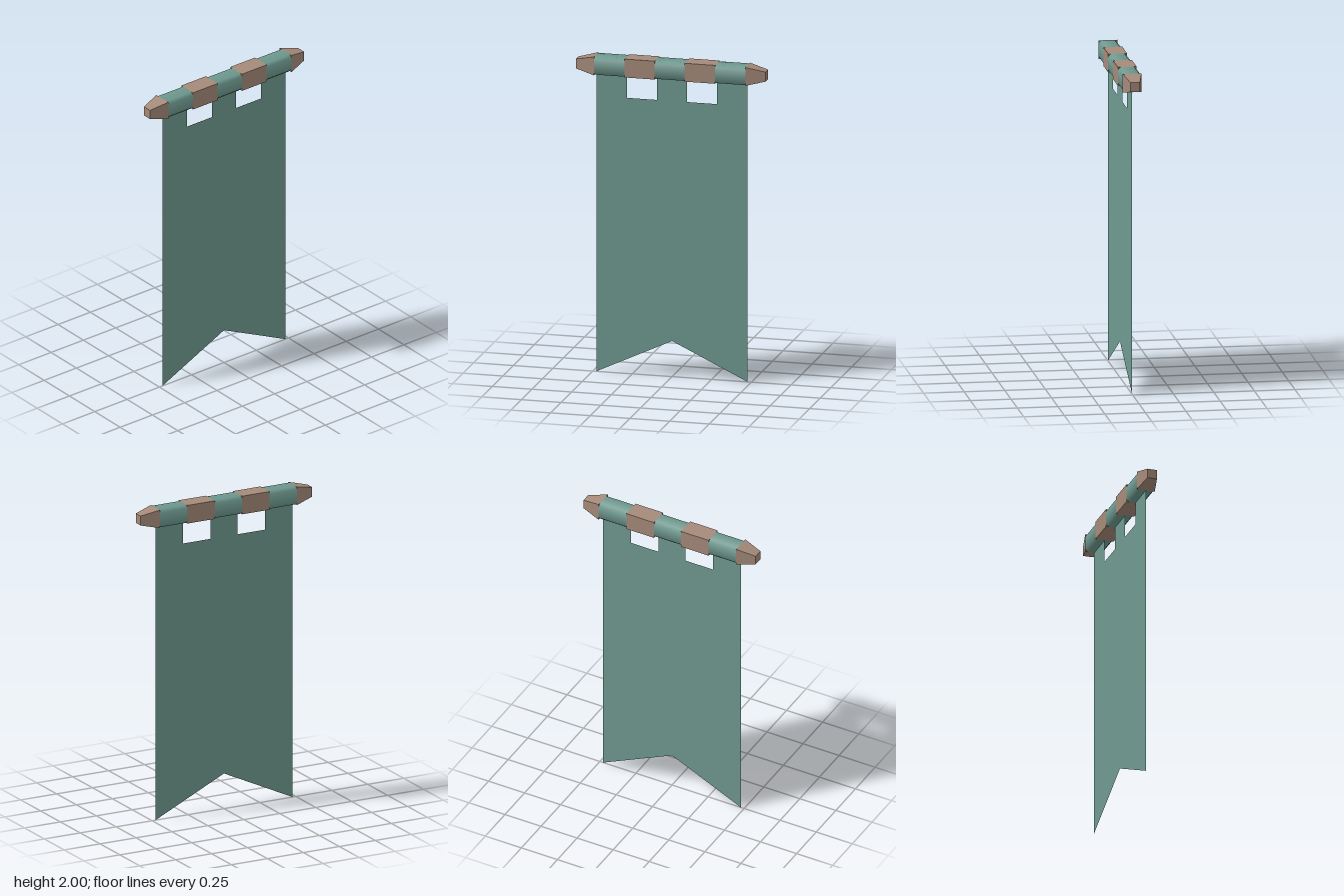
import * as THREE from 'three';

const HALF = 0.058;      // half thickness of the pole
const POLE_Y = 2 - HALF; // pole axis height
const EDGE = 0.477;      // half width of the cloth
const TIP = 0.597;       // half length of the pole
const SLOT_IN = 0.094, SLOT_OUT = 0.285;

// Square tapered pole end, pointing to +z
function taperedEnd(length) {
  const g = new THREE.CylinderGeometry(0.03 * Math.SQRT2, HALF * Math.SQRT2, length, 4);
  g.rotateY(Math.PI / 4).rotateX(Math.PI / 2);
  const flat = g.toNonIndexed();
  flat.computeVertexNormals();
  return flat;
}

// Soft square sleeve along z: an eight-sided tube with wide flats, smooth normals
function sleeve(length) {
  const g = new THREE.CylinderGeometry(1, 1, length, 8, 1, true);
  g.rotateY(Math.PI / 8);
  const p = g.attributes.position;
  const fit = (v) => Math.sign(v) * (Math.abs(v) > 0.7 ? HALF : 0.041);
  for (let i = 0; i < p.count; i++) {
    p.setX(i, fit(p.getX(i)));
    p.setZ(i, fit(p.getZ(i)));
  }
  return g.rotateX(Math.PI / 2);
}

export function createModel() {
  const model = new THREE.Group();
  model.name = 'hangingBanner';
  const wood = new THREE.MeshStandardMaterial({ color: 0xa58a79 });
  wood.name = 'brown wood';
  const cloth = new THREE.MeshStandardMaterial({ color: 0x6f9a90, side: THREE.DoubleSide });
  cloth.name = 'green cloth';

  const add = (name, geometry, material, y, z) => {
    const mesh = new THREE.Mesh(geometry, material);
    mesh.name = name;
    mesh.position.set(0, y, z);
    model.add(mesh);
    return mesh;
  };

  // Pole: exposed square blocks and tapered ends
  for (const s of [1, -1]) {
    add('poleBlock', new THREE.BoxGeometry(2 * HALF, 2 * HALF, SLOT_OUT - SLOT_IN),
      wood, POLE_Y, s * (SLOT_IN + SLOT_OUT) / 2);
    const end = add('poleEnd', taperedEnd(TIP - EDGE), wood, POLE_Y, s * (EDGE + TIP) / 2);
    if (s < 0) end.rotation.y = Math.PI;
  }

  // Cloth loops around the pole
  for (const [a, b] of [[-EDGE, -SLOT_OUT], [-SLOT_IN, SLOT_IN], [SLOT_OUT, EDGE]]) {
    add('clothLoop', sleeve(b - a), cloth, POLE_Y, (a + b) / 2);
  }

  // Hanging sheet with three tabs and a notched lower edge
  const top = 2 - 2 * HALF, slotY = 1.74;
  const outline = [
    [-EDGE, 0], [0, 0.225], [EDGE, 0], [EDGE, top],
    [SLOT_OUT, top], [SLOT_OUT, slotY], [SLOT_IN, slotY], [SLOT_IN, top],
    [-SLOT_IN, top], [-SLOT_IN, slotY], [-SLOT_OUT, slotY], [-SLOT_OUT, top], [-EDGE, top],
  ].map(([x, y]) => new THREE.Vector2(x, y));
  const sheet = new THREE.ShapeGeometry(new THREE.Shape(outline));
  sheet.rotateY(Math.PI / 2);
  add('bannerSheet', sheet, cloth, 0, 0);

  return model;
}
